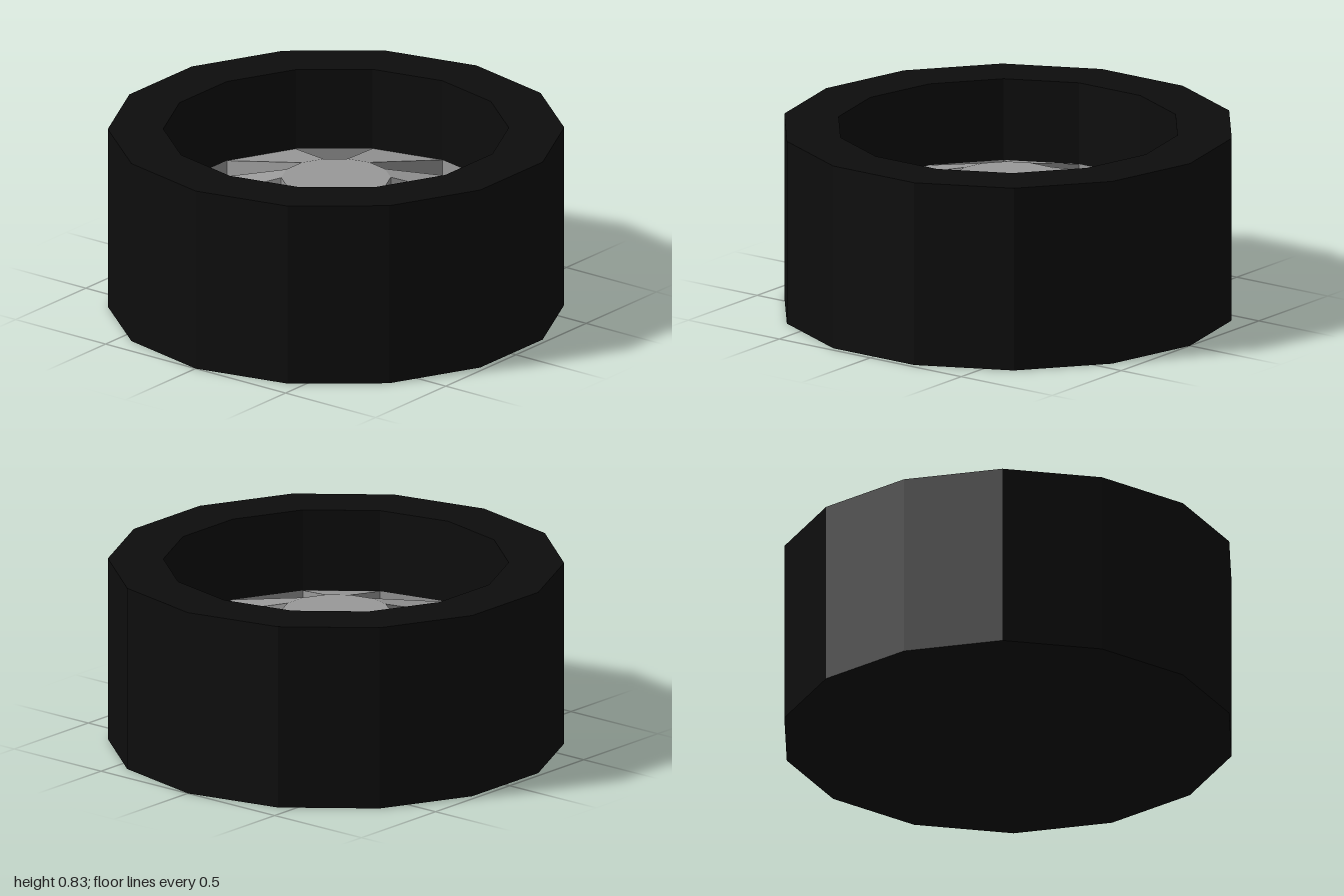
import * as THREE from 'three';

const SIDES = 14;
const STEP = (Math.PI * 2) / SIDES;
const RIM_R = 0.757, HUB_R = 0.24;
const FLOOR_Y = 0.37, RIM_Y = 0.46, HUB_Y = 0.6;

const material = (color) => new THREE.MeshStandardMaterial({ color, flatShading: true });

function lathe(points) {
  return new THREE.LatheGeometry(points.map(([r, y]) => new THREE.Vector2(r, y)), SIDES);
}

// Wedge filling one sector, its top rising from the rim to the hub
function spokeGeometry(sector) {
  const geometry = new THREE.BoxGeometry(1, 1, 1);
  const p = geometry.attributes.position;
  for (let i = 0; i < p.count; i++) {
    const angle = (sector + 0.5 + p.getX(i)) * STEP;
    const outer = p.getZ(i) > 0;
    const r = outer ? RIM_R : HUB_R;
    const top = outer ? RIM_Y : HUB_Y;
    p.setXYZ(i, Math.sin(angle) * r, p.getY(i) > 0 ? top : FLOOR_Y, Math.cos(angle) * r);
  }
  geometry.computeVertexNormals();
  return geometry;
}

export function createModel() {
  const wheel = new THREE.Group();
  wheel.name = 'wheel';
  const rubber = material(0x0d0d0d);
  const metal = material(0x999999);
  const dark = material(0x464543);

  const add = (name, geometry, mat) => {
    const mesh = new THREE.Mesh(geometry, mat);
    mesh.name = name;
    wheel.add(mesh);
    return mesh;
  };

  // Tyre with closed underside and deep open face
  add('tyre', lathe([[0, 0], [1, 0], [1, 0.83], [RIM_R, 0.83], [RIM_R, RIM_Y]]), rubber);

  // Rim wall and recessed floor between the spokes
  add('rimWall', lathe([[RIM_R, RIM_Y], [RIM_R, FLOOR_Y]]), metal);
  add('recessFloor', lathe([[RIM_R, FLOOR_Y], [0, FLOOR_Y]]), dark);

  // Hub
  const hubHeight = HUB_Y - FLOOR_Y;
  const hub = add('hub', new THREE.CylinderGeometry(HUB_R, HUB_R, hubHeight, SIDES), metal);
  hub.position.y = FLOOR_Y + hubHeight / 2;

  // Spokes in every second sector
  for (let sector = 1; sector < SIDES; sector += 2) {
    add('spoke', spokeGeometry(sector), metal);
  }
  return wheel;
}
